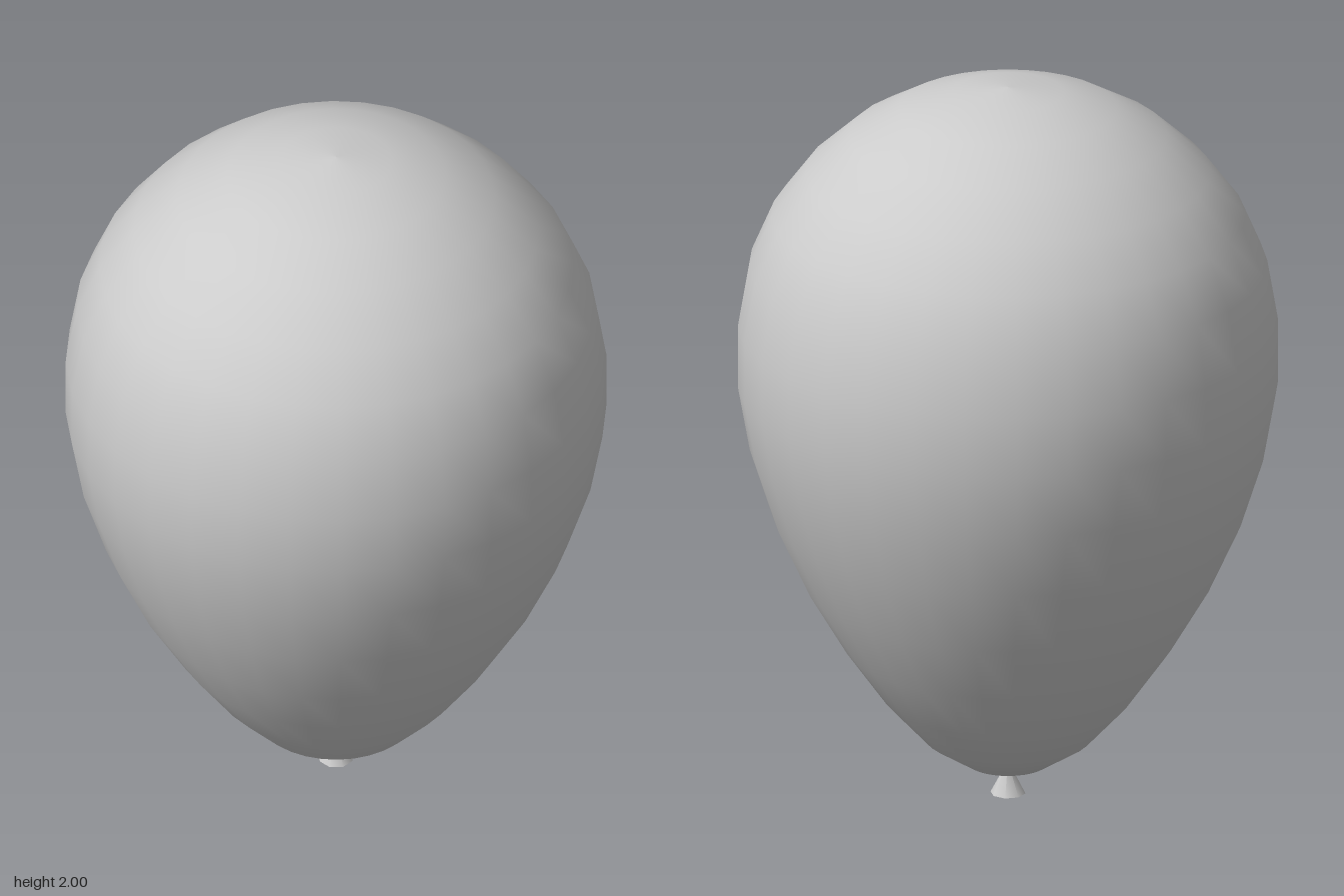
import * as THREE from 'three';

export function createModel() {
  const group = new THREE.Group();
  const material = new THREE.MeshStandardMaterial({ color: 0xcccccc });

  // Inflated body: [radius, height] from the neck up to the crown
  const profile = [
    [0, 0.065], [0.11, 0.088], [0.222, 0.16], [0.332, 0.28], [0.438, 0.43],
    [0.538, 0.60], [0.624, 0.79], [0.685, 0.98], [0.717, 1.16], [0.717, 1.33],
    [0.688, 1.50], [0.628, 1.64], [0.538, 1.76], [0.422, 1.865], [0.29, 1.94],
    [0.148, 1.986], [0, 2.0],
  ].map(([r, y]) => new THREE.Vector2(r, y));
  const body = new THREE.Mesh(new THREE.LatheGeometry(profile, 32), material);
  body.name = 'balloonBody';
  group.add(body);

  // Flared knot under the neck
  const knot = new THREE.Mesh(new THREE.ConeGeometry(0.047, 0.09, 8), material);
  knot.name = 'knot';
  knot.position.y = 0.045;
  group.add(knot);

  return group;
}
